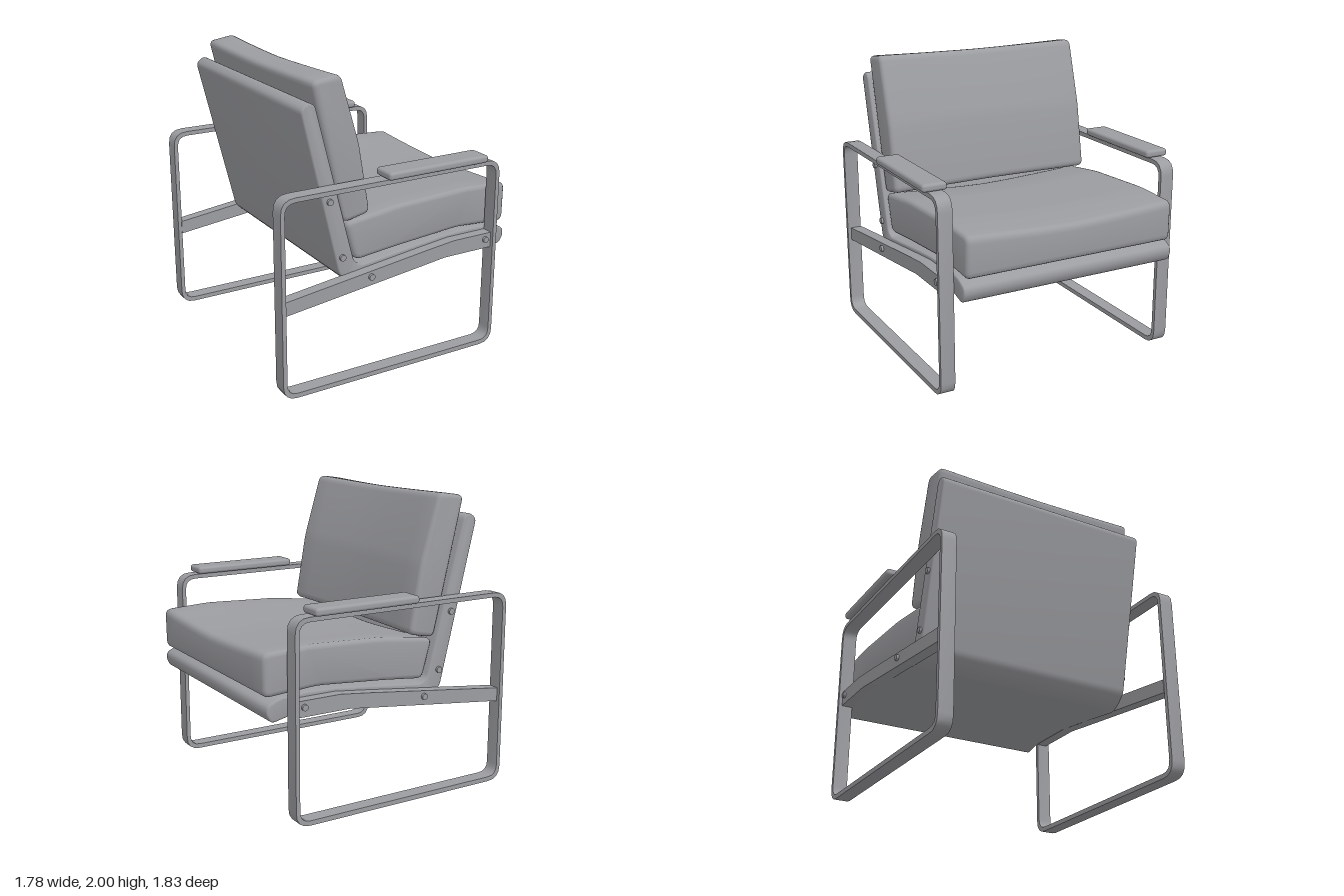
import * as THREE from 'three';
import { toCreasedNormals } from 'three/addons/utils/BufferGeometryUtils.js';
import { RoundedBoxGeometry } from 'three/addons/geometries/RoundedBoxGeometry.js';

const grey = new THREE.MeshStandardMaterial({ color: 0x9c9da1 });
grey.name = 'grey';

// Closed outline with every corner rounded by up to r
function roundedOutline(points, r, Type = THREE.Shape) {
  const v = points.map(([x, y]) => new THREE.Vector2(x, y));
  const shape = new Type();
  v.forEach((p, i) => {
    const a = v[(i + v.length - 1) % v.length], b = v[(i + 1) % v.length];
    const toward = (q) => p.clone().lerp(q, Math.min(0.45, r / p.distanceTo(q)));
    const s = toward(a), e = toward(b);
    if (i === 0) shape.moveTo(s.x, s.y); else shape.lineTo(s.x, s.y);
    shape.quadraticCurveTo(p.x, p.y, e.x, e.y);
  });
  shape.closePath();
  return shape;
}

// Side profile extruded between z0 and z1, with optional rounded side edges
function slab(shape, z0, z1, bevel = 0, steps = 1, curveSegments = 4) {
  const geo = new THREE.ExtrudeGeometry(shape, {
    depth: z1 - z0 - 2 * bevel, steps, curveSegments, bevelEnabled: bevel > 0,
    bevelSize: bevel, bevelOffset: -bevel, bevelThickness: bevel, bevelSegments: 3,
  });
  return geo.translate(0, 0, z0 + bevel);
}

function add(parent, name, geo, crease = 0.6) {
  const mesh = new THREE.Mesh(crease ? toCreasedNormals(geo, crease) : geo, grey);
  mesh.name = name;
  parent.add(mesh);
  return mesh;
}

// Move every vertex by a rule of its position
function deform(geo, rule) {
  const p = geo.attributes.position, v = new THREE.Vector3();
  for (let i = 0; i < p.count; i++) {
    rule(v.fromBufferAttribute(p, i));
    p.setXYZ(i, v.x, v.y, v.z);
  }
  return geo;
}

const rect = (x0, y0, x1, y1) => [[x0, y0], [x1, y0], [x1, y1], [x0, y1]];
const sag = (z) => Math.max(0, 1 - Math.pow(Math.abs(z) / 0.75, 1.4));

function createModel() {
  const chair = new THREE.Group();
  chair.name = 'armchair';

  // Continuous shell: slanted back running into the seat pan
  const shellShape = roundedOutline([
    [-0.695, 1.82], [-0.43, 0.72], [-0.37, 0.66], [-0.30, 0.62], [0.17, 0.685],
    [0.35, 0.705], [0.70, 0.705], [0.845, 0.672], [0.88, 0.73], [0.875, 0.785],
    [0.79, 0.825], [0.60, 0.838], [0.40, 0.832], [0.18, 0.81], [-0.27, 0.755],
    [-0.32, 0.79], [-0.595, 1.84], [-0.64, 1.862],
  ], 0.03);
  add(chair, 'seatShell', slab(shellShape, -0.775, 0.775, 0.012));

  // Seat cushion, sagging toward the middle
  const seatShape = roundedOutline([
    [-0.375, 1.05], [-0.30, 0.78], [0, 0.812], [0.5, 0.852], [0.885, 0.828],
    [0.888, 1.11], [0.55, 1.125], [0, 1.10],
  ], 0.05);
  const seat = slab(seatShape, -0.757, 0.757, 0.03, 10);
  add(chair, 'seatCushion', deform(seat, (v) => {
    if (v.y > 0.98) v.y -= 0.035 * sag(v.z);
  }), 0.75);

  // Back cushion, hollowed along its front and top
  const backShape = roundedOutline([
    [-0.605, 1.975], [-0.385, 1.05], [-0.19, 1.09], [-0.27, 1.55], [-0.405, 2.005],
  ], 0.045);
  const back = slab(backShape, -0.757, 0.757, 0.03, 10);
  add(chair, 'backCushion', deform(back, (v) => {
    const mid = -0.49 - (v.y - 1.52) * 0.24 + 0.1;
    if (v.x > mid) v.x -= 0.025 * sag(v.z);
    if (v.y > 1.8) v.y -= 0.015 * sag(v.z);
  }), 0.75);

  for (const side of [-1, 1]) {
    const group = new THREE.Group();
    group.name = side > 0 ? 'rightSide' : 'leftSide';
    chair.add(group);
    const span = (z0, z1) => (side > 0 ? [z0, z1] : [-z1, -z0]);

    // Flat-bar loop forming legs, runner and arm
    const loop = roundedOutline(rect(-0.89, 0, 0.735, 1.33), 0.1);
    loop.holes.push(roundedOutline(rect(-0.862, 0.032, 0.707, 1.3), 0.075, THREE.Path));
    add(group, 'frameLoop', slab(loop, ...span(0.775, 0.875)));

    // Sloping rail carrying the shell
    const rail = new THREE.Shape([
      [-0.865, 0.563], [0.17, 0.685], [0.33, 0.705], [0.71, 0.705], [0.71, 0.81],
      [0.40, 0.81], [0.18, 0.785], [-0.865, 0.656],
    ].map(([x, y]) => new THREE.Vector2(x, y)));
    add(group, 'sideRail', slab(rail, ...span(0.77, 0.85)));

    // Armrest pad
    const pad = add(group, 'armrest', new RoundedBoxGeometry(0.76, 0.052, 0.168, 3, 0.02), 0);
    pad.position.set(0.23, 1.358, side * 0.829);

    // Bolt heads on rail and back
    for (const [x, y, z] of [[-0.24, 0.695, 0.855], [0.66, 0.768, 0.855],
      [-0.41, 0.835, 0.78], [-0.5, 1.22, 0.78]]) {
      const bolt = add(group, 'bolt', new THREE.CylinderGeometry(0.021, 0.021, 0.022, 16));
      bolt.rotation.x = Math.PI / 2;
      bolt.position.set(x, y, side * z);
    }
  }
  return chair;
}

export { createModel };
